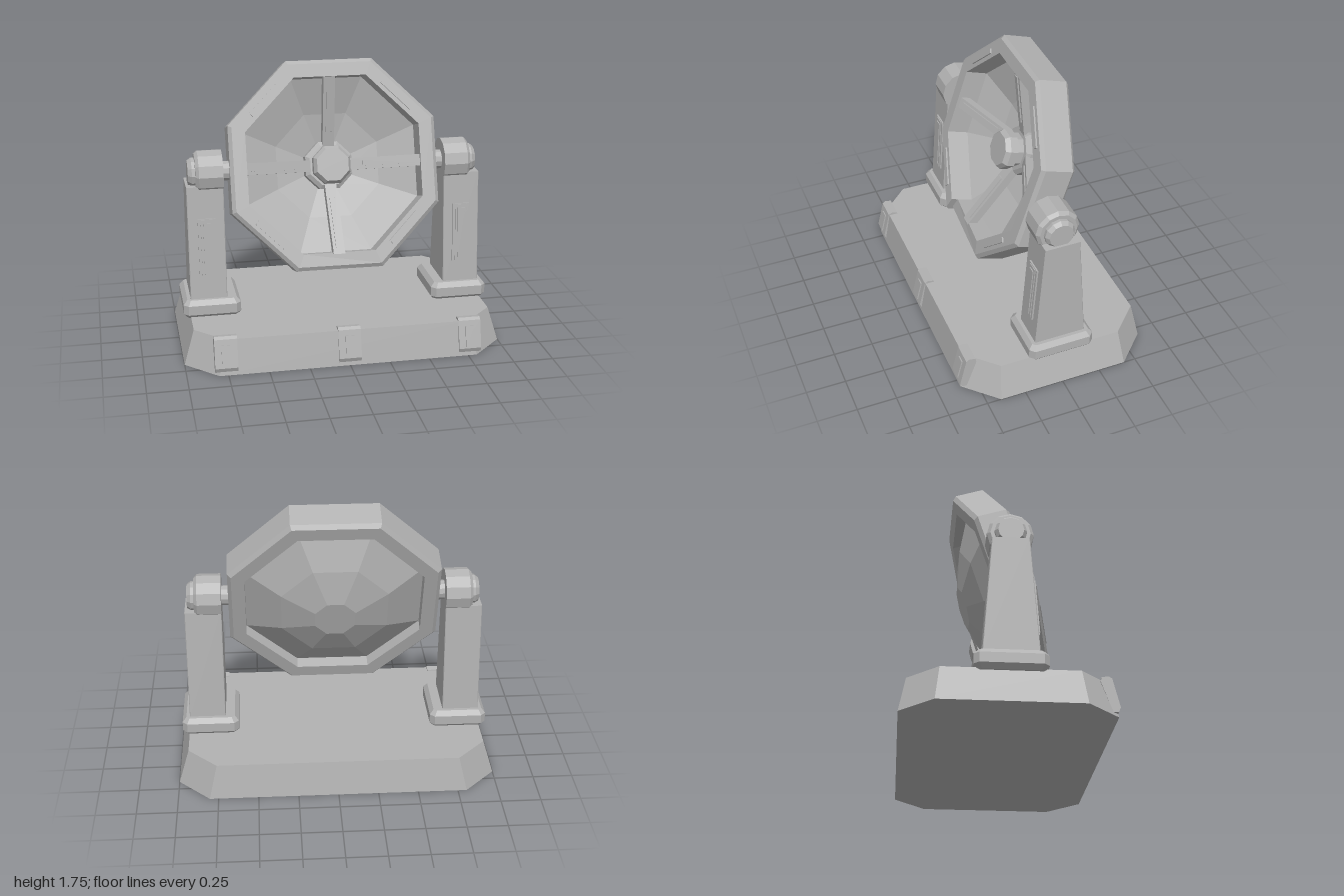
import * as THREE from 'three';

const grey = new THREE.MeshStandardMaterial({ color: 0xb2b2b2 });
grey.name = 'plain grey';
const greyThin = grey.clone();
greyThin.side = THREE.DoubleSide;

const PIVOT_Y = 1.105;
const TILT = THREE.MathUtils.degToRad(18);

// Adds a faceted mesh
function add(parent, name, geometry, material = grey) {
  const g = geometry.index ? geometry.toNonIndexed() : geometry;
  g.computeVertexNormals();
  const mesh = new THREE.Mesh(g, material);
  mesh.name = name;
  parent.add(mesh);
  return mesh;
}

// Joins matching loops of points, counter-clockwise seen from the far end
function loft(loops, capStart = true, capEnd = true) {
  const p = [];
  const tri = (a, b, c) => p.push(...a, ...b, ...c);
  const n = loops[0].length;
  for (let s = 0; s < loops.length - 1; s++) {
    const A = loops[s], B = loops[s + 1];
    for (let i = 0; i < n; i++) {
      const j = (i + 1) % n;
      tri(A[i], A[j], B[j]);
      tri(A[i], B[j], B[i]);
    }
  }
  const S = loops[0], E = loops[loops.length - 1];
  for (let i = 1; i < n - 1; i++) {
    if (capStart) tri(S[0], S[i + 1], S[i]);
    if (capEnd) tri(E[0], E[i], E[i + 1]);
  }
  const g = new THREE.BufferGeometry();
  g.setAttribute('position', new THREE.Float32BufferAttribute(p, 3));
  return g;
}

// Horizontal rectangle with cut corners
function cutRect(hx, hz, c, y) {
  return [[hx - c, hz], [hx, hz - c], [hx, c - hz], [hx - c, -hz],
    [c - hx, -hz], [-hx, c - hz], [-hx, hz - c], [c - hx, hz]].map(([x, z]) => [x, y, z]);
}

// Octagon facing z, sized by its flat-to-centre distance
function octagon(r, z) {
  const R = r / Math.cos(Math.PI / 8);
  return Array.from({ length: 8 }, (_, k) => {
    const a = Math.PI / 8 + k * Math.PI / 4;
    return [R * Math.cos(a), R * Math.sin(a), z];
  });
}

// Clip wrapped over the front edge of the base
function addClip(parent, x) {
  const clip = new THREE.Group();
  clip.name = 'baseClip';
  const shape = new THREE.Shape([[0.57, 0.02], [0.6, 0.022], [0.612, 0.05], [0.57, 0.222],
    [0.55, 0.235], [0.51, 0.228], [0.505, 0.2]].map(([z, y]) => new THREE.Vector2(z, y)));
  const g = new THREE.ExtrudeGeometry(shape, { depth: 0.14, bevelEnabled: false });
  g.translate(0, 0, -0.07).rotateY(-Math.PI / 2);
  add(clip, 'clipBody', g);
  const plate = add(clip, 'clipPlate', new THREE.BoxGeometry(0.055, 0.13, 0.014));
  plate.position.set(0, 0.125, 0.595);
  plate.rotation.x = -Math.atan2(0.042, 0.172);
  clip.position.x = x;
  parent.add(clip);
}

// Support: foot, tapered post, panel, bearing and axle
function addSupport(parent, side) {
  const support = new THREE.Group();
  support.name = side > 0 ? 'leftSupport' : 'rightSupport';

  const foot = add(support, 'foot', loft([
    cutRect(0.155, 0.185, 0.02, 0.205), cutRect(0.18, 0.21, 0.03, 0.235),
    cutRect(0.18, 0.21, 0.03, 0.295), cutRect(0.155, 0.185, 0.02, 0.325),
  ]));
  foot.position.set(side * 0.797, 0, -0.004);

  const post = add(support, 'post', loft([
    cutRect(0.115, 0.163, 0.004, 0.32), cutRect(0.115, 0.11, 0.004, 1.04),
  ]));
  post.position.set(side * 0.815, 0, -0.003);

  [[0.11, 0.38, 0.02], [0.075, 0.37, 0.03], [0.045, 0.33, 0.042]].forEach(([w, h, d]) => {
    const panel = add(support, 'postPanel', new THREE.BoxGeometry(w, h, d));
    panel.position.set(side * 0.813, 0.65, 0.136);
    panel.rotation.x = -Math.atan2(0.053, 0.72);
  });

  const profile = [[0, 0.7], [0.138, 0.7], [0.138, 0.85], [0.118, 0.87], [0.095, 0.87],
    [0.095, 0.89], [0.076, 0.914], [0, 0.914]].map(([r, y]) => new THREE.Vector2(r, y));
  const bearing = new THREE.LatheGeometry(profile, 12).rotateZ(-side * Math.PI / 2);
  add(support, 'bearing', bearing).position.y = PIVOT_Y;

  const axle = new THREE.CylinderGeometry(0.062, 0.062, 0.12, 12).rotateZ(Math.PI / 2);
  add(support, 'axle', axle).position.set(side * 0.665, PIVOT_Y, 0);
  parent.add(support);
}

// Sloping bar from the hub to the rim; z falls toward the hub
function spokeBar(u0, u1, h, front, back) {
  const rect = (u) => {
    const z = 0.08 - (0.55 - u) * 0.42;
    return [[h, u, z + front], [h, u, z + back], [-h, u, z + back], [-h, u, z + front]];
  };
  return loft([rect(u0), rect(u1)]);
}

function addDish(parent) {
  const dish = new THREE.Group();
  dish.name = 'dish';
  dish.position.y = PIVOT_Y;
  dish.rotation.x = -TILT;

  // Octagonal rim; the bottom piece has a sunken front corner
  const section = [[0.55, 0.1], [0.632, 0.1], [0.655, 0.08], [0.655, -0.1], [0.632, -0.124], [0.55, -0.124]];
  for (let k = 0; k < 8; k++) {
    const end = (angle, sink) => section.map(([r, z]) => {
      const R = r / Math.cos(Math.PI / 8);
      return [R * Math.cos(angle), R * Math.sin(angle), z > 0 ? z - sink : z];
    });
    const a = Math.PI / 8 + k * Math.PI / 4;
    add(dish, 'rimSegment', loft([end(a, k === 5 ? 0.045 : 0), end(a + Math.PI / 4, 0)]));
  }

  // Faceted bowl
  add(dish, 'bowl', loft([octagon(0.125, -0.24), octagon(0.33, -0.168), octagon(0.555, -0.043)], true, false), greyThin);

  // Stepped hub
  add(dish, 'hub', loft([
    octagon(0.135, -0.23), octagon(0.15, -0.2), octagon(0.15, -0.12), octagon(0.125, -0.1),
    octagon(0.1, -0.1), octagon(0.1, -0.06), octagon(0.118, -0.05), octagon(0.118, 0), octagon(0.1, 0.03),
  ]));

  // Four spokes, with diagonal rim plates between them
  for (let k = 0; k < 4; k++) {
    const arm = new THREE.Group();
    arm.name = 'spoke';
    add(arm, 'spokeBar', spokeBar(0.1, 0.56, 0.037, 0, -0.06));
    add(arm, 'spokePlate', spokeBar(0.21, 0.52, 0.018, 0.009, -0.01));
    arm.rotation.z = k * Math.PI / 2;
    dish.add(arm);

    const holder = new THREE.Group();
    holder.name = 'rimPlate';
    add(holder, 'plate', new THREE.BoxGeometry(0.25, 0.032, 0.02)).position.set(0, 0.592, 0.1);
    holder.rotation.z = Math.PI / 4 + k * Math.PI / 2;
    dish.add(holder);
  }
  parent.add(dish);
}

export function createModel() {
  const model = new THREE.Group();
  model.name = 'tiltingDish';

  const base = add(model, 'base', loft([cutRect(1, 0.612, 0.195, 0), cutRect(0.935, 0.572, 0.18, 0.218)]));
  base.position.z = -0.007;

  [-0.76, 0, 0.76].forEach((x) => addClip(model, x));
  [-1, 1].forEach((side) => addSupport(model, side));
  addDish(model);
  return model;
}
